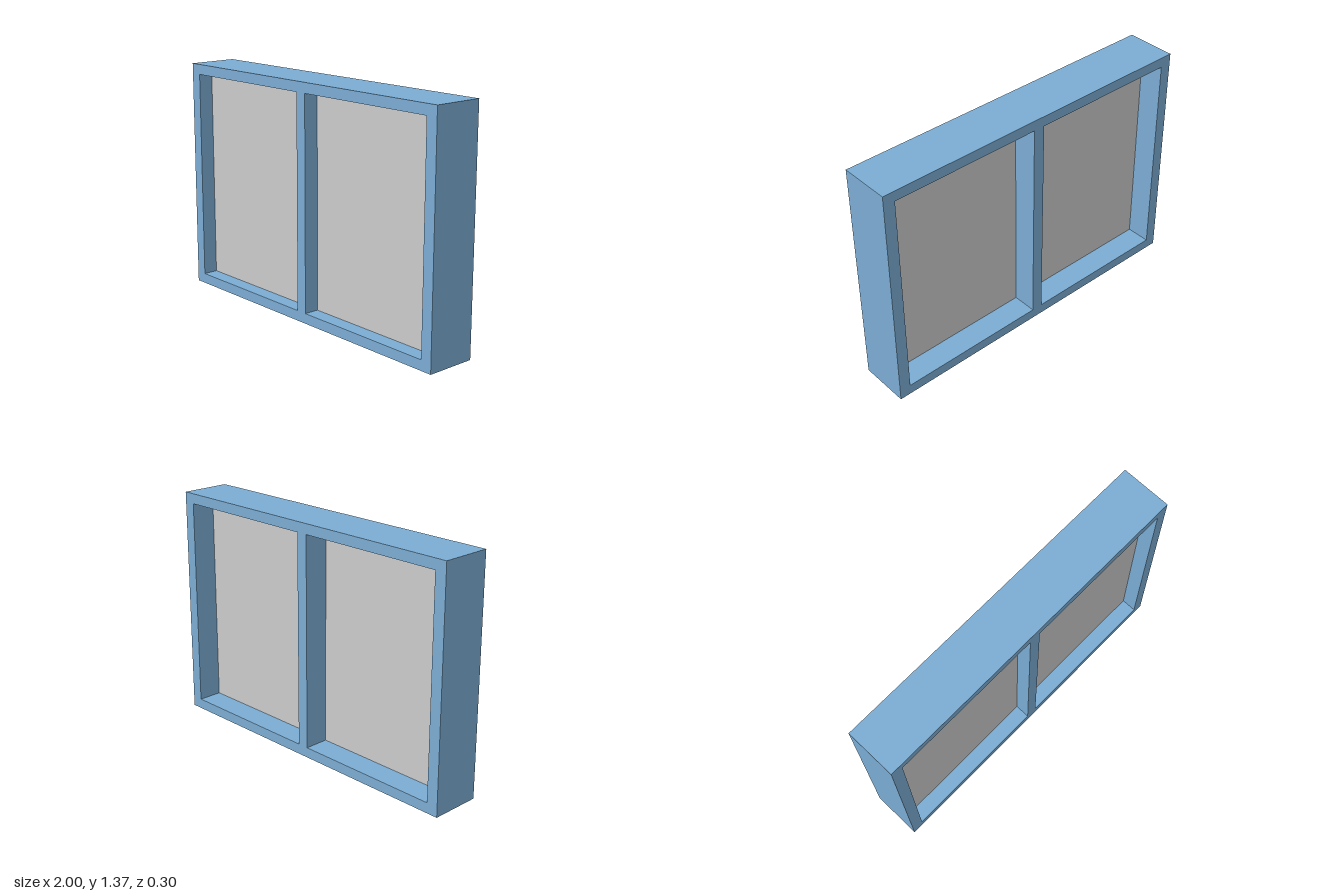
import * as THREE from 'three';

const W = 2, H = 1.365, D = 0.296;            // overall size
const SIDE = 0.068, RAIL = 0.06, MULLION = 0.068;
const PANE_BACK = -0.002, PANE_FRONT = 0.059; // panes sit forward of the middle

export function createModel() {
  const group = new THREE.Group();
  group.name = 'window';
  const frameMaterial = new THREE.MeshStandardMaterial({ color: 0x7bacd3 });
  const paneMaterial = new THREE.MeshStandardMaterial({ color: 0xcccccc });

  const paneW = (W - 2 * SIDE - MULLION) / 2;
  const paneH = H - 2 * RAIL;
  const paneX = (MULLION + paneW) / 2;

  // Frame: one solid outline with two openings, leaving the central mullion
  const rect = (Type, cx, w, y, h) => new Type([
    new THREE.Vector2(cx - w / 2, y), new THREE.Vector2(cx + w / 2, y),
    new THREE.Vector2(cx + w / 2, y + h), new THREE.Vector2(cx - w / 2, y + h),
  ]);
  const outline = rect(THREE.Shape, 0, W, 0, H);
  for (const s of [-1, 1]) outline.holes.push(rect(THREE.Path, s * paneX, paneW, RAIL, paneH));
  const frameGeometry = new THREE.ExtrudeGeometry(outline, { depth: D, bevelEnabled: false });
  frameGeometry.translate(0, 0, -D / 2);
  const frame = new THREE.Mesh(frameGeometry, frameMaterial);
  frame.name = 'frame';
  group.add(frame);

  // Panes: one filling each opening
  for (const [name, s] of [['rightPane', -1], ['leftPane', 1]]) {
    const pane = new THREE.Mesh(new THREE.BoxGeometry(paneW, paneH, PANE_FRONT - PANE_BACK), paneMaterial);
    pane.name = name;
    pane.position.set(s * paneX, H / 2, (PANE_FRONT + PANE_BACK) / 2);
    group.add(pane);
  }
  return group;
}
